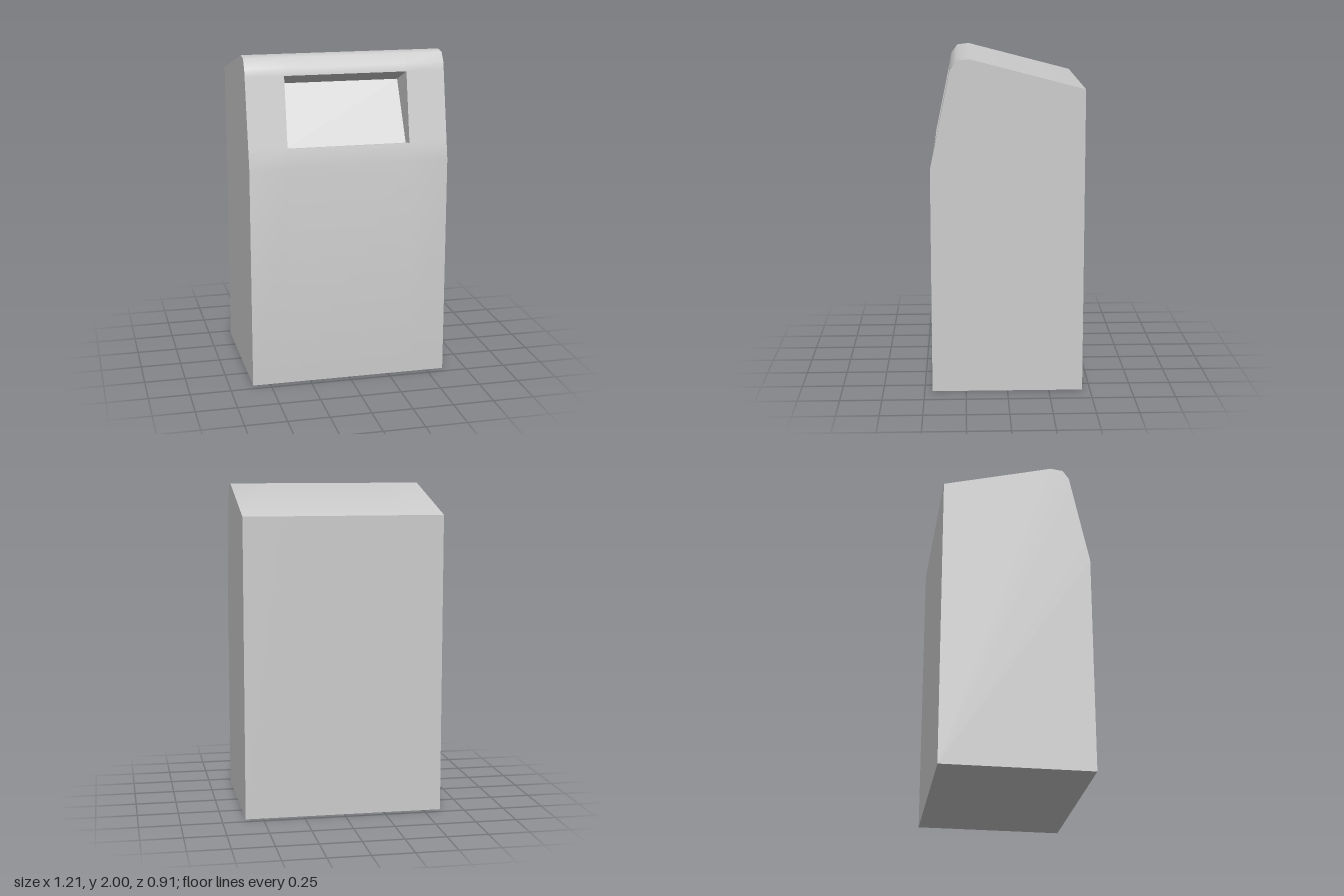
import * as THREE from 'three';
import { toCreasedNormals } from 'three/addons/utils/BufferGeometryUtils.js';

const HALF_W = 0.607; // half width of the body
const HALF_O = 0.373; // half width of the opening

// Side outlines as [z, y]
const body = [
  [0.453, 0], [0.453, 1.36], [0.43, 1.468], [0.343, 1.887], [0.333, 1.935],
  [0.295, 1.99], [0.22, 2], [-0.453, 1.825], [-0.453, 0],
];
const HOLE_ROW = 2; // segment of the outline that carries the opening
const pocket = [body[2], [0.35, 1.452], [0.145, 1.81], body[3]];

// Quad strip along an outline between two x positions
function strip(out, outline, x0, x1, skip = -1) {
  for (let i = 0; i < outline.length - 1; i++) {
    if (i === skip) continue;
    const [z0, y0] = outline[i], [z1, y1] = outline[i + 1];
    out.push(x0, y0, z0, x1, y0, z0, x1, y1, z1);
    out.push(x0, y0, z0, x1, y1, z1, x0, y1, z1);
  }
}

// Flat wall filling a convex outline at +x and -x
function walls(out, outline, half) {
  const n = outline.length;
  const fan = [...outline].reverse();
  for (const x of [-half, half]) {
    for (let i = 1; i < n - 1; i++) {
      const tri = [fan[0], fan[i], fan[i + 1]];
      if (x < 0) tri.reverse();
      for (const [z, y] of tri) out.push(x, y, z);
    }
  }
}

function makeMesh(name, positions, material) {
  const geometry = new THREE.BufferGeometry();
  geometry.setAttribute('position', new THREE.Float32BufferAttribute(positions, 3));
  const mesh = new THREE.Mesh(toCreasedNormals(geometry, 0.9), material);
  mesh.name = name;
  return mesh;
}

export function createModel() {
  const group = new THREE.Group();
  group.name = 'litterBin';
  const material = new THREE.MeshStandardMaterial({ color: 0xcccccc });

  // Housing: wrapped skin with a gap for the opening, plus sides and bottom
  const shell = [];
  strip(shell, body, -HALF_W, -HALF_O);
  strip(shell, body, -HALF_O, HALF_O, HOLE_ROW);
  strip(shell, body, HALF_O, HALF_W);
  strip(shell, [body[body.length - 1], body[0]], -HALF_W, HALF_W);
  walls(shell, body, HALF_W);
  group.add(makeMesh('housing', shell, material));

  // Recessed opening with ledge, tilted flap and ceiling
  const recess = [];
  strip(recess, pocket, -HALF_O, HALF_O);
  walls(recess, pocket, HALF_O);
  group.add(makeMesh('openingRecess', recess, material));

  return group;
}
